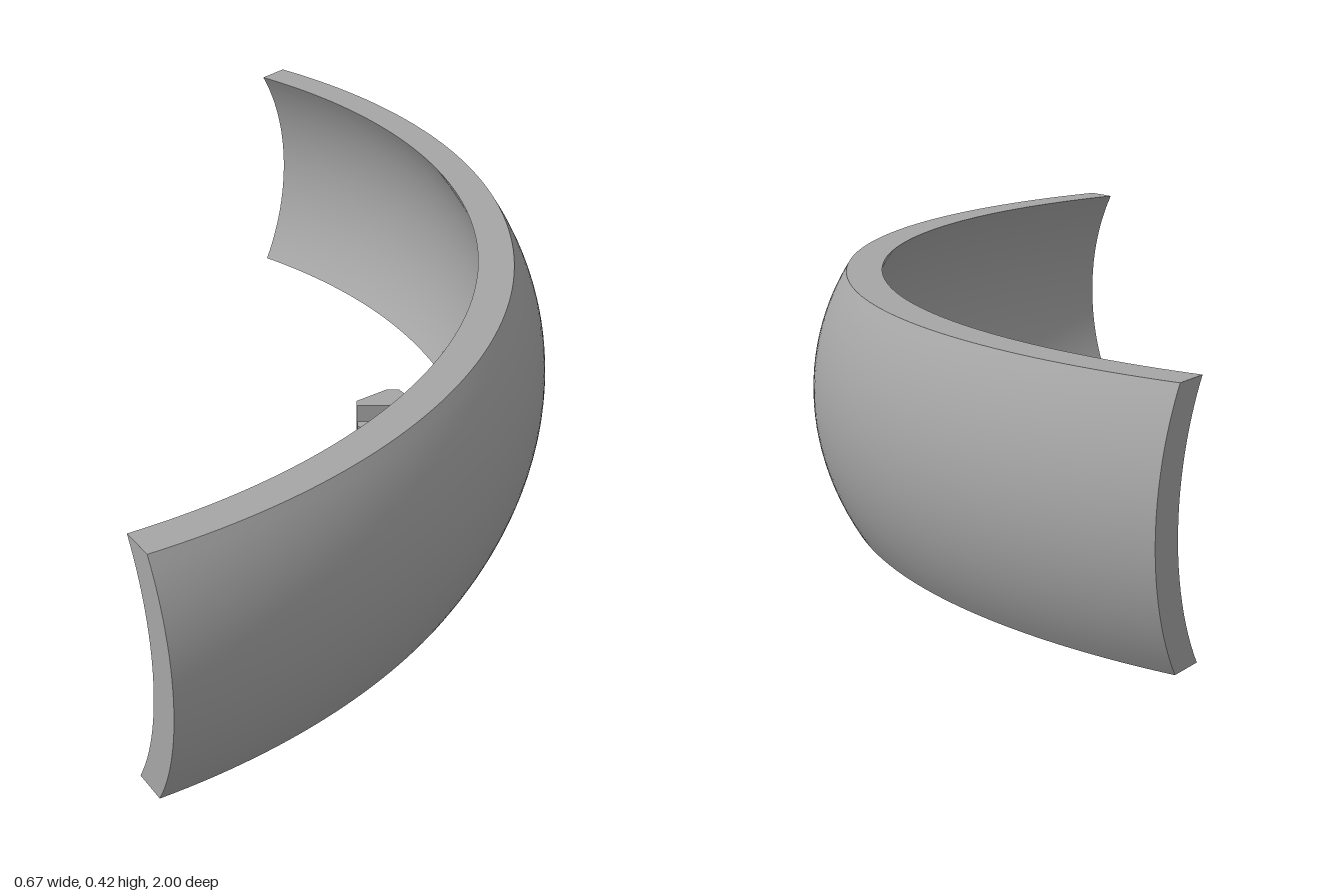
import * as THREE from 'three';

export function createModel() {
  const grey = new THREE.MeshStandardMaterial({ color: 0xa6a6a6 });
  grey.name = 'plain grey';

  const model = new THREE.Group();
  model.name = 'curvedBandWithClip';
  const add = (parent, geometry, name) => {
    const mesh = new THREE.Mesh(geometry, grey);
    mesh.name = name;
    parent.add(mesh);
    return mesh;
  };

  // Band: a bulging strip swept round an arc
  const H = 0.418, R = 1.229, T = 0.0625, BULGE = 0.061;
  const CX = -0.894, CZ = -0.063;
  const FRONT = THREE.MathUtils.degToRad(59.8);
  const BACK = THREE.MathUtils.degToRad(49.75);

  const half = H / 2;
  const arcR = (half * half + BULGE * BULGE) / (2 * BULGE);
  const sweep = Math.asin(half / arcR);
  const side = radius => Array.from({ length: 25 }, (_, i) => {
    const a = sweep * (i / 12 - 1);
    return new THREE.Vector2(radius - arcR * (1 - Math.cos(a)), half + arcR * Math.sin(a));
  });
  const outer = side(R);
  const inner = side(R - T).reverse();

  const band = new THREE.Group();
  band.name = 'band';
  band.position.set(CX, 0, CZ);
  model.add(band);

  const strips = {
    outerWall: outer,
    topEdge: [outer[24], inner[0]],
    innerWall: inner,
    bottomEdge: [inner[24], outer[0]],
  };
  for (const [name, points] of Object.entries(strips)) {
    add(band, new THREE.LatheGeometry(points, 96, Math.PI / 2 - FRONT, FRONT + BACK), name);
  }

  // End faces of the band
  const section = new THREE.Shape([...outer, ...inner]);
  add(band, new THREE.ShapeGeometry(section), 'frontEnd').rotation.y = -FRONT;
  const backEnd = new THREE.ShapeGeometry(section);
  backEnd.index.array.reverse();
  backEnd.computeVertexNormals();
  add(band, backEnd, 'backEnd').rotation.y = BACK;

  // Clip: base plate and two mirrored barbed prongs
  const clip = new THREE.Group();
  clip.name = 'clip';
  clip.position.z = CZ;
  model.add(clip);

  const plate = new THREE.BoxGeometry(0.04, 0.122, 0.31);
  plate.translate(0.185, 0.061, 0);
  add(clip, plate, 'clipPlate');

  const prong = [[0, 0.03], [0.166, 0.03], [0.166, 0.075], [0.09, 0.075],
    [0.08, 0.092], [0.058, 0.092], [0, 0.048]];
  for (const s of [1, -1]) {
    const shape = new THREE.Shape(prong.map(([x, w]) => new THREE.Vector2(x, s * w)));
    const geometry = new THREE.ExtrudeGeometry(shape, { depth: 0.073, bevelEnabled: false });
    geometry.rotateX(-Math.PI / 2);
    geometry.translate(0, 0.003, 0);
    add(clip, geometry, s > 0 ? 'backProng' : 'frontProng');
  }

  return model;
}
